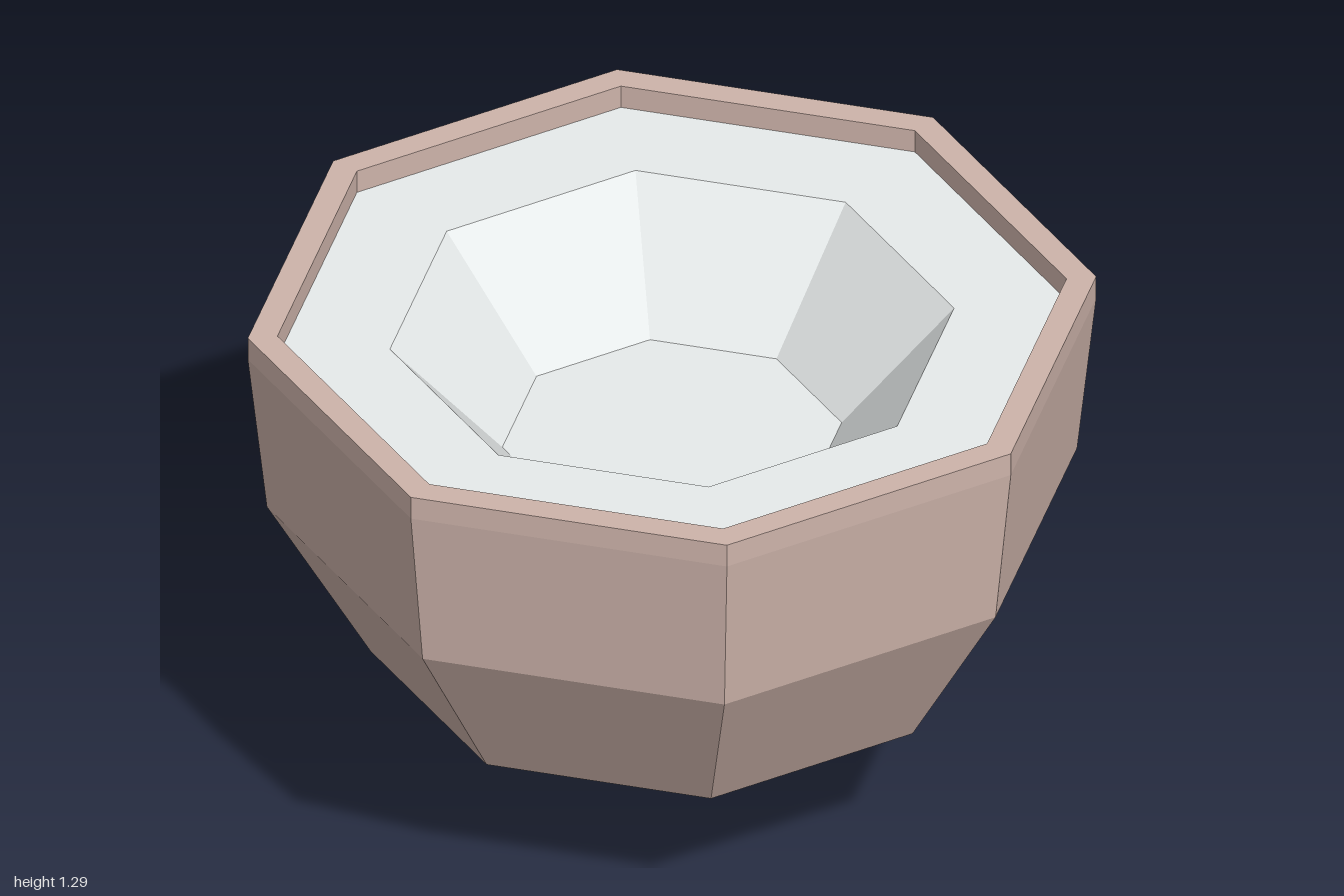
import * as THREE from 'three';

// Eight-sided faceted surface of revolution from [radius, height] pairs
function facetedLathe(name, color, profile) {
  const points = profile.map(([r, y]) => new THREE.Vector2(r, y));
  const mesh = new THREE.Mesh(
    new THREE.LatheGeometry(points, 8),
    new THREE.MeshStandardMaterial({ color, flatShading: true })
  );
  mesh.name = name;
  return mesh;
}

export function createModel() {
  const group = new THREE.Group();
  group.name = 'halfCoconut';

  // Outer husk: pointed base, flaring sides, thin rim and its inner lip
  group.add(facetedLathe('shell', 0xcdb3aa, [
    [0, 0], [0.71, 0.38], [0.955, 0.81], [1, 1.23], [1, 1.29],
    [0.93, 1.29], [0.93, 1.23],
  ]));

  // Pale flesh: flat ring just below the rim, sloped hollow, flat floor
  group.add(facetedLathe('flesh', 0xe7ebeb, [
    [0.93, 1.23], [0.665, 1.23], [0.4, 0.93], [0, 0.93],
  ]));

  return group;
}
